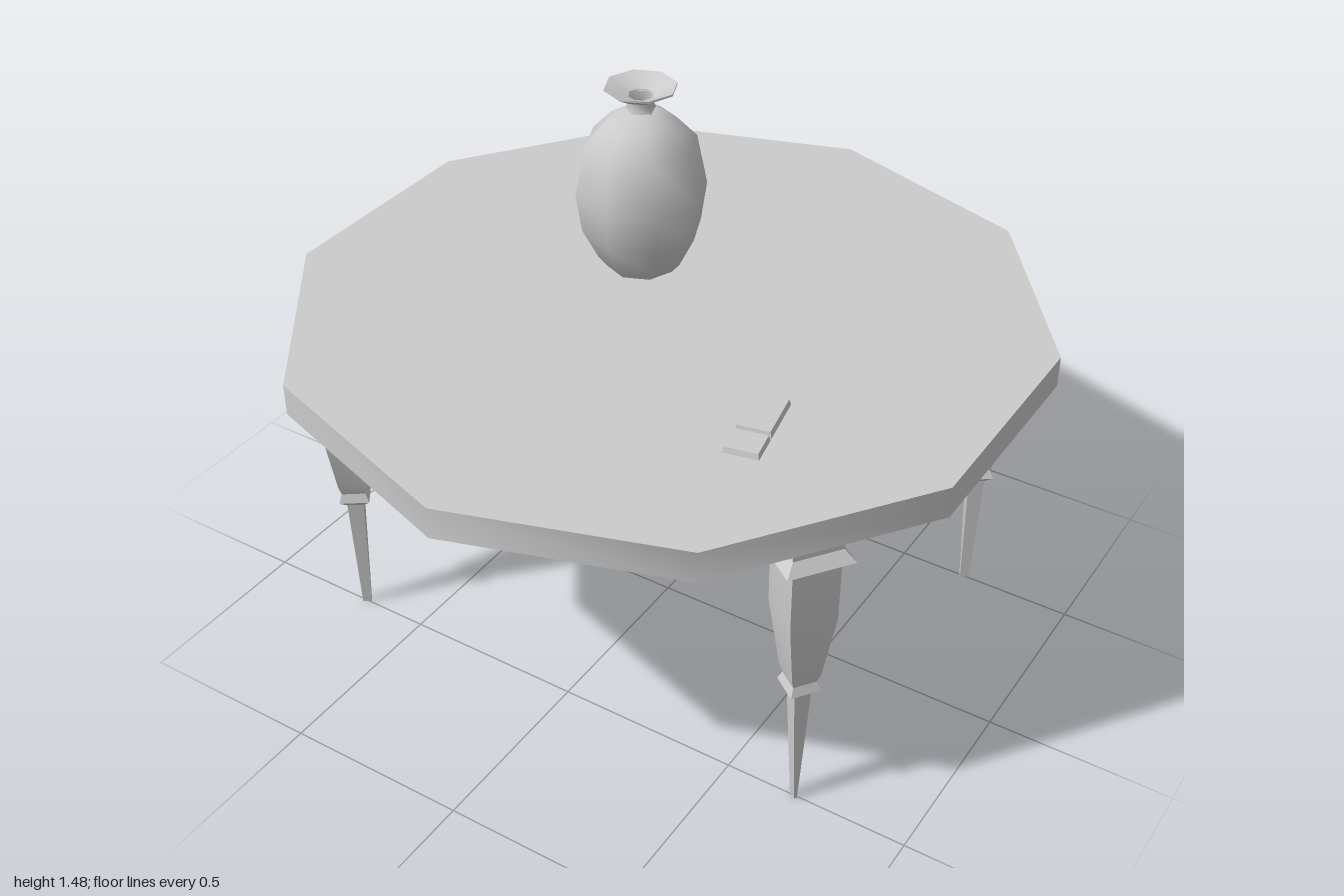
import * as THREE from 'three';
import { toCreasedNormals } from 'three/addons/utils/BufferGeometryUtils.js';

const material = new THREE.MeshStandardMaterial({ color: 0xcccccc, side: THREE.DoubleSide });

function mesh(name, geometry) {
  const m = new THREE.Mesh(geometry, material);
  m.name = name;
  return m;
}

// Faceted turned solid from [radius, y] pairs, listed bottom to top
function turned(profile, sides) {
  return new THREE.LatheGeometry(profile.map(([r, y]) => new THREE.Vector2(r, y)), sides);
}

// Square leg: [half side, y], with the foot thinning sideways towards the ground
function legGeometry() {
  const profile = [
    [0, 0], [0.012, 0], [0.022, 0.36], [0.04, 0.38], [0.031, 0.405], [0.038, 0.43],
    [0.061, 0.62], [0.062, 0.785], [0.087, 0.8], [0.064, 0.83], [0.064, 0.9], [0, 0.9],
  ];
  const geometry = turned(profile.map(([a, y]) => [a * Math.SQRT2, y]), 4);
  geometry.rotateY(Math.PI / 4);
  const p = geometry.attributes.position;
  for (let i = 0; i < p.count; i++) {
    const t = Math.min(1, p.getY(i) / 0.36);
    p.setX(i, p.getX(i) * (0.35 + 0.65 * t));
  }
  return toCreasedNormals(geometry, 0.25);
}

// Low block whose upper edges are drawn in slightly
function taperedBlock(w, h, d) {
  const geometry = new THREE.BoxGeometry(w, h, d);
  const p = geometry.attributes.position;
  for (let i = 0; i < p.count; i++) {
    if (p.getY(i) < 0) continue;
    p.setX(i, p.getX(i) - Math.sign(p.getX(i)) * 0.004);
    p.setZ(i, p.getZ(i) - Math.sign(p.getZ(i)) * 0.004);
  }
  return toCreasedNormals(geometry, 0.3);
}

export function createModel() {
  const model = new THREE.Group();
  model.name = 'tableWithVase';

  // Ten-sided top with a shallow recess underneath
  const top = turned([[0, 0.905], [0.8, 0.905], [0.8, 0.875], [1, 0.875], [1, 0.96], [0, 0.96]], 10);
  model.add(mesh('tableTop', toCreasedNormals(top, 0.7)));

  // Four legs, each turned to face outward
  const legGeo = legGeometry();
  for (const [sx, end] of [[1, 'Left'], [-1, 'Right']]) {
    for (const [sz, side] of [[1, 'front'], [-1, 'back']]) {
      const leg = mesh(side + end + 'Leg', legGeo);
      leg.position.set(sx * 0.69, 0, sz * 0.5);
      leg.rotation.y = Math.atan2(sx * 0.69, sz * 0.5);
      model.add(leg);
    }
  }

  // Vase: rounded body, then a narrow neck with a flared lip
  const vase = new THREE.Group();
  vase.name = 'vase';
  vase.position.set(-0.17, 0.96, -0.14);
  const body = turned([
    [0, 0], [0.095, 0], [0.118, 0.03], [0.16, 0.115], [0.175, 0.22],
    [0.147, 0.36], [0.09, 0.42], [0.042, 0.45], [0.032, 0.45],
  ], 8);
  vase.add(mesh('vaseBody', toCreasedNormals(body, 0.95)));
  const neck = turned([[0.042, 0.448], [0.034, 0.465], [0.04, 0.49]], 5);
  vase.add(mesh('vaseNeck', neck));
  const lip = turned([[0.034, 0.485], [0.055, 0.487], [0.095, 0.51], [0.095, 0.515], [0.034, 0.49]], 8);
  vase.add(mesh('vaseLip', toCreasedNormals(lip, 0.8)));
  model.add(vase);

  // Small flat case lying on the table, in two sections
  const smallCase = new THREE.Group();
  smallCase.name = 'flatCase';
  smallCase.position.set(0.466, 0.968, 0.347);
  smallCase.rotation.y = 0.2;
  const back = mesh('caseBody', taperedBlock(0.092, 0.018, 0.149));
  back.position.z = -0.044;
  const front = mesh('caseCap', taperedBlock(0.092, 0.016, 0.085));
  front.position.set(0, -0.001, 0.077);
  smallCase.add(back, front);
  model.add(smallCase);

  return model;
}
